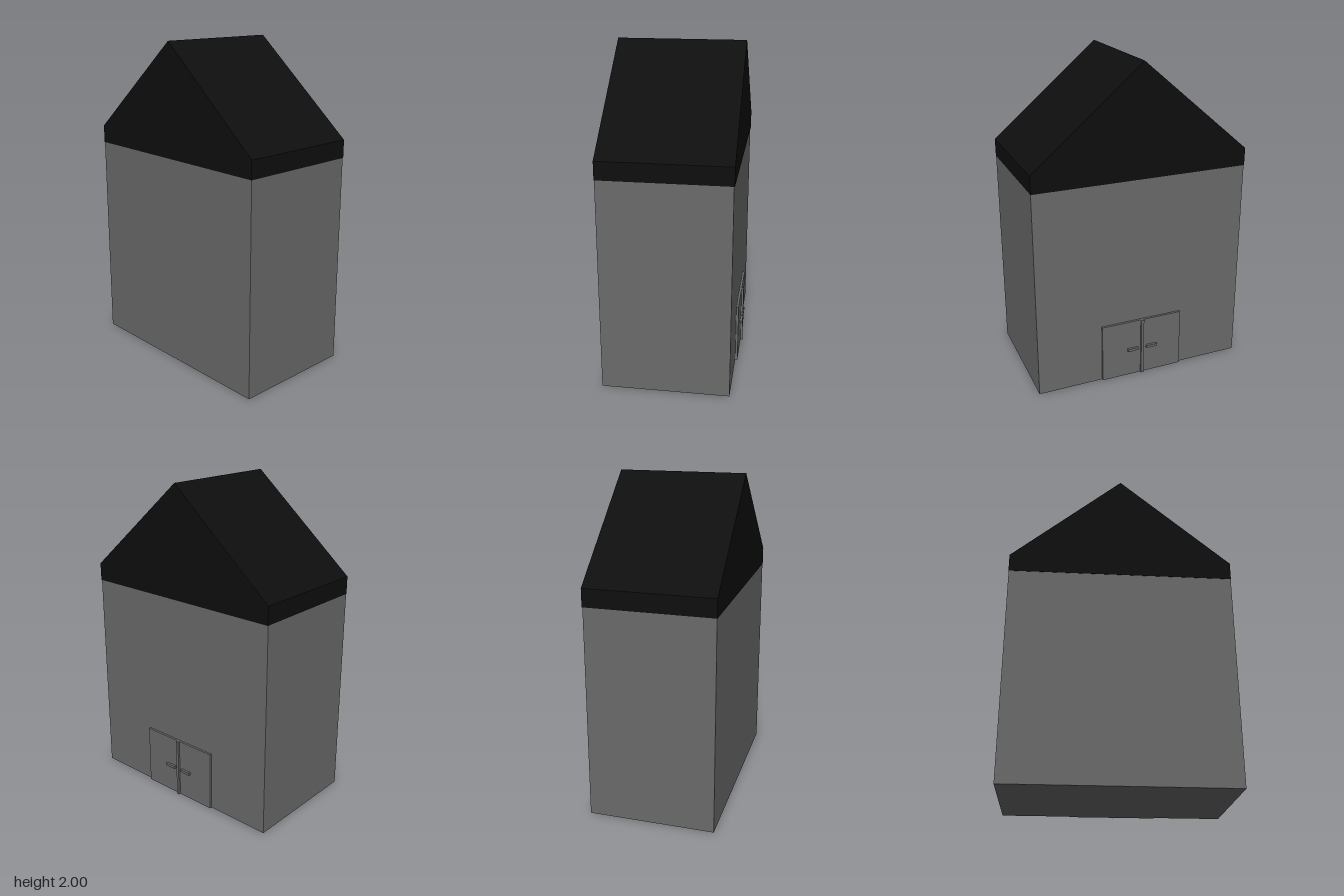
import * as THREE from 'three';

export function createModel() {
  const model = new THREE.Group();
  const wallGrey = new THREE.MeshStandardMaterial({ color: 0x6a6a6a });
  wallGrey.name = 'wall grey';
  const roofBlack = new THREE.MeshStandardMaterial({ color: 0x0e0e0e });
  roofBlack.name = 'roof black';

  // Box given by its limits on each axis
  function addBox(name, [x0, x1], [y0, y1], [z0, z1], material, parent = model) {
    const mesh = new THREE.Mesh(new THREE.BoxGeometry(x1 - x0, y1 - y0, z1 - z0), material);
    mesh.position.set((x0 + x1) / 2, (y0 + y1) / 2, (z0 + z1) / 2);
    mesh.name = name;
    parent.add(mesh);
  }

  // Walls
  addBox('walls', [-0.4, 0.373], [0, 1.31], [-0.68, 0.68], wallGrey);

  // Gabled roof with a short upright band at the eaves, extruded along x
  const gable = new THREE.Shape([
    new THREE.Vector2(-0.681, 1.31),
    new THREE.Vector2(0.681, 1.31),
    new THREE.Vector2(0.681, 1.42),
    new THREE.Vector2(0, 2),
    new THREE.Vector2(-0.681, 1.42),
  ]);
  const roofGeometry = new THREE.ExtrudeGeometry(gable, { depth: 0.779, bevelEnabled: false });
  roofGeometry.rotateY(Math.PI / 2).translate(-0.402, 0, 0);
  const roof = new THREE.Mesh(roofGeometry, roofBlack);
  roof.name = 'roof';
  model.add(roof);

  // Double door on the +x side: two leaves with handles and a centre strip
  const door = new THREE.Group();
  door.name = 'doubleDoor';
  model.add(door);
  for (const side of [-1, 1]) {
    const span = (a, b) => [side * a, side * b].sort((p, q) => p - q);
    addBox('doorLeaf', [0.37, 0.387], [0, 0.38], span(0, 0.267), wallGrey, door);
    addBox('doorHandle', [0.386, 0.402], [0.175, 0.192], span(0.028, 0.1), wallGrey, door);
  }
  addBox('doorCentreStrip', [0.386, 0.4], [0, 0.38], [-0.009, 0.009], wallGrey, door);

  return model;
}
